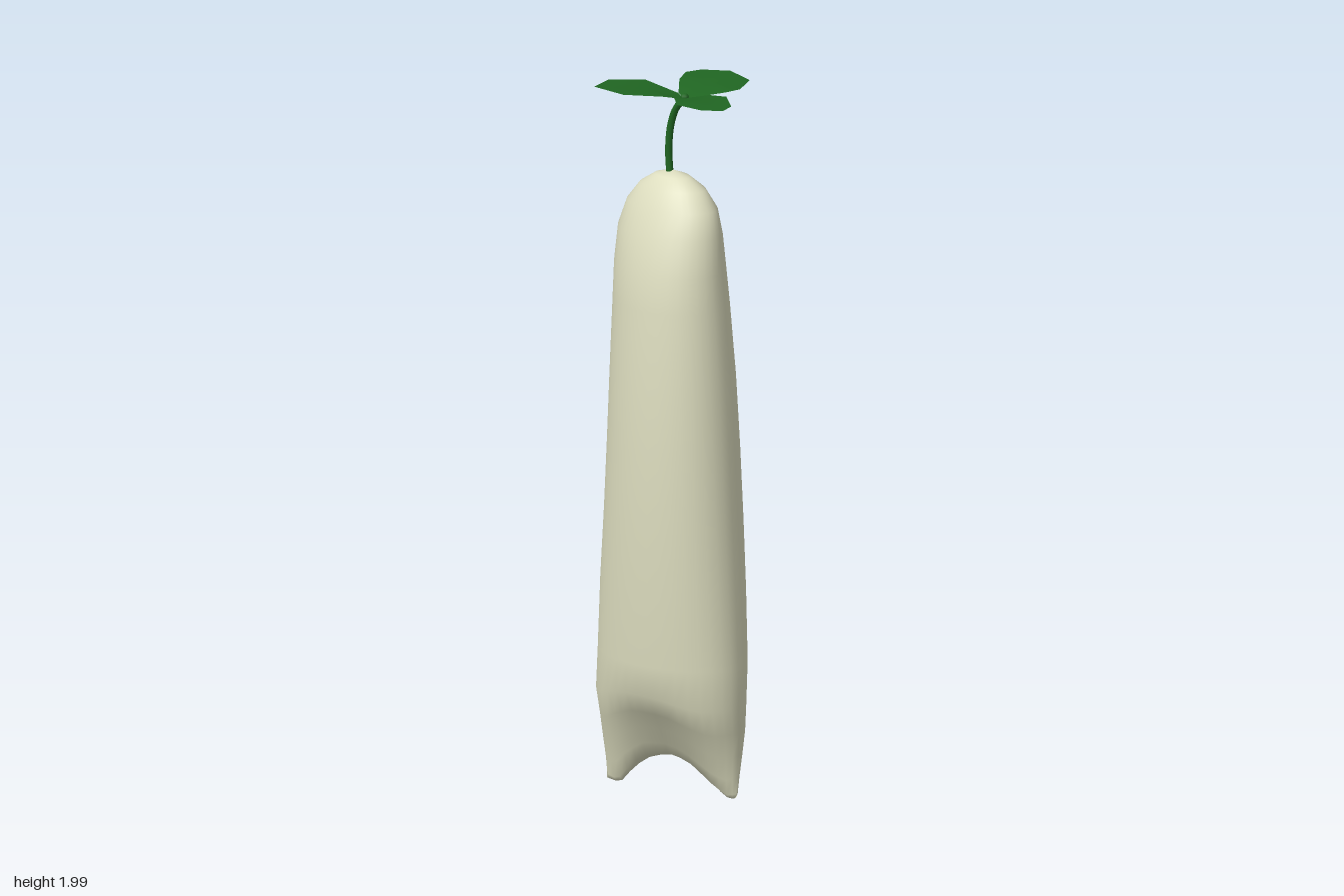
import * as THREE from 'three';
import { mergeVertices } from 'three/addons/utils/BufferGeometryUtils.js';

// piecewise-linear lookup in [[key, value], ...]
function lookup(table, k) {
  if (k <= table[0][0]) return table[0][1];
  for (let i = 1; i < table.length; i++) {
    const [k0, v0] = table[i - 1], [k1, v1] = table[i];
    if (k <= k1) return v0 + (v1 - v0) * (k - k0) / (k1 - k0);
  }
  return table[table.length - 1][1];
}

// height of the arched lower edge across x
const HEM = [[-0.25, 0.02], [-0.235, 0.012], [-0.19, 0.005], [-0.14, 0.06], [-0.08, 0.1], [-0.01, 0.112],
  [0.05, 0.1], [0.1, 0.065], [0.14, 0.035], [0.175, 0.016], [0.21, 0.025]];

// body rings: y, min x, max x, min z, max z
const RINGS = [
  [0, -0.234, 0.197, 0.012, 0.012], [0.012, -0.237, 0.2, -0.02, 0.035], [0.06, -0.24, 0.204, -0.048, 0.062],
  [0.13, -0.248, 0.213, -0.075, 0.092], [0.2, -0.252, 0.222, -0.105, 0.13], [0.28, -0.254, 0.228, -0.128, 0.17],
  [0.4, -0.249, 0.226, -0.148, 0.18], [0.6, -0.238, 0.218, -0.16, 0.192], [0.8, -0.222, 0.21, -0.161, 0.199],
  [1, -0.21, 0.2, -0.158, 0.2], [1.2, -0.2, 0.188, -0.149, 0.195], [1.4, -0.19, 0.172, -0.13, 0.182],
  [1.5, -0.186, 0.163, -0.115, 0.17], [1.6, -0.178, 0.153, -0.092, 0.143], [1.67, -0.155, 0.135, -0.072, 0.112],
  [1.72, -0.115, 0.095, -0.05, 0.085], [1.75, -0.067, 0.045, -0.02, 0.055], [1.764, -0.012, -0.012, 0.018, 0.018],
];

function bodyGeometry() {
  const n = 36, pos = [], idx = [], blend = 0.4;
  RINGS.forEach(([y, x0, x1, z0, z1]) => {
    const cx = (x0 + x1) / 2, rx = (x1 - x0) / 2, cz = (z0 + z1) / 2, rz = (z1 - z0) / 2;
    for (let i = 0; i < n; i++) {
      const a = i / n * Math.PI * 2;
      const dz = rz * Math.sin(a);
      const x = cx + rx * Math.cos(a) + 0.22 * dz;
      const t = Math.min(1, y / blend);
      const h = y < blend ? y + lookup(HEM, x) * (1 - t) : y;
      pos.push(x, h, cz + dz);
    }
  });
  for (let r = 0; r < RINGS.length - 1; r++) {
    for (let i = 0; i < n; i++) {
      const a = r * n + i, b = r * n + (i + 1) % n;
      idx.push(a, a + n, b, b, a + n, b + n);
    }
  }
  let g = new THREE.BufferGeometry();
  g.setAttribute('position', new THREE.Float32BufferAttribute(pos, 3));
  g.setIndex(idx);
  g = mergeVertices(g, 1e-4); // welds the lower seam and the crown
  g.computeVertexNormals();
  return g;
}

// leaf outlines as x, z; each starts near the stem tip
const LEAVES = [
  [[0.03, 0.02], [0, 0.005], [-0.04, -0.055], [-0.065, -0.12], [-0.045, -0.165], [0.027, -0.2], [0.125, -0.153],
    [0.16, -0.06], [0.147, -0.01]],
  [[0.027, 0.02], [0, 0.007], [-0.11, 0.008], [-0.19, 0.065], [-0.178, 0.15], [-0.065, 0.172], [0.028, 0.12],
    [0.037, 0.065]],
  [[0.027, 0.02], [0.057, 0.105], [0.115, 0.172], [0.2, 0.18], [0.253, 0.152], [0.245, 0.1], [0.175, 0.025],
    [0.11, 0.015]],
];

// fan around the middle of the leaf, dipping towards the stem
function leafGeometry(outline) {
  const n = outline.length, pos = [], idx = [];
  const mid = [0, 1].map(k => outline.reduce((s, p) => s + p[k], 0) / n);
  for (const [x, z] of [mid, ...outline]) {
    const d = Math.hypot(x - 0.03, z - 0.02);
    pos.push(x, Math.min(2, 1.97 + d * 0.28), z);
  }
  for (let i = 0; i < n; i++) idx.push(0, 1 + (i + 1) % n, 1 + i);
  const g = new THREE.BufferGeometry();
  g.setAttribute('position', new THREE.Float32BufferAttribute(pos, 3));
  g.setIndex(idx);
  // keep the upper side facing up whichever way the outline runs
  g.computeVertexNormals();
  if (g.attributes.normal.getY(0) < 0) {
    g.setIndex(idx.reverse());
    g.computeVertexNormals();
  }
  return g;
}

export function createModel() {
  const model = new THREE.Group();
  const cream = new THREE.MeshStandardMaterial({ color: 0xdedec0 });
  const green = new THREE.MeshStandardMaterial({ color: 0x206622 });
  const leafGreen = new THREE.MeshStandardMaterial({ color: 0x206622, side: THREE.DoubleSide });
  const add = (name, geometry, material) => {
    const mesh = new THREE.Mesh(geometry, material);
    mesh.name = name;
    model.add(mesh);
    return mesh;
  };

  add('body', bodyGeometry(), cream);

  // curved stem with a small bud where the leaves meet
  const path = new THREE.CatmullRomCurve3([[-0.017, 1.74], [-0.022, 1.82], [-0.015, 1.89], [0.003, 1.94], [0.032, 1.972]]
    .map(([x, y]) => new THREE.Vector3(x, y, 0.02)));
  add('stem', new THREE.TubeGeometry(path, 14, 0.01, 8), green);
  add('bud', new THREE.SphereGeometry(0.012, 8, 6), green).position.set(0.031, 1.974, 0.02);

  LEAVES.forEach((outline, i) => add('leaf' + (i + 1), leafGeometry(outline), leafGreen));
  return model;
}
